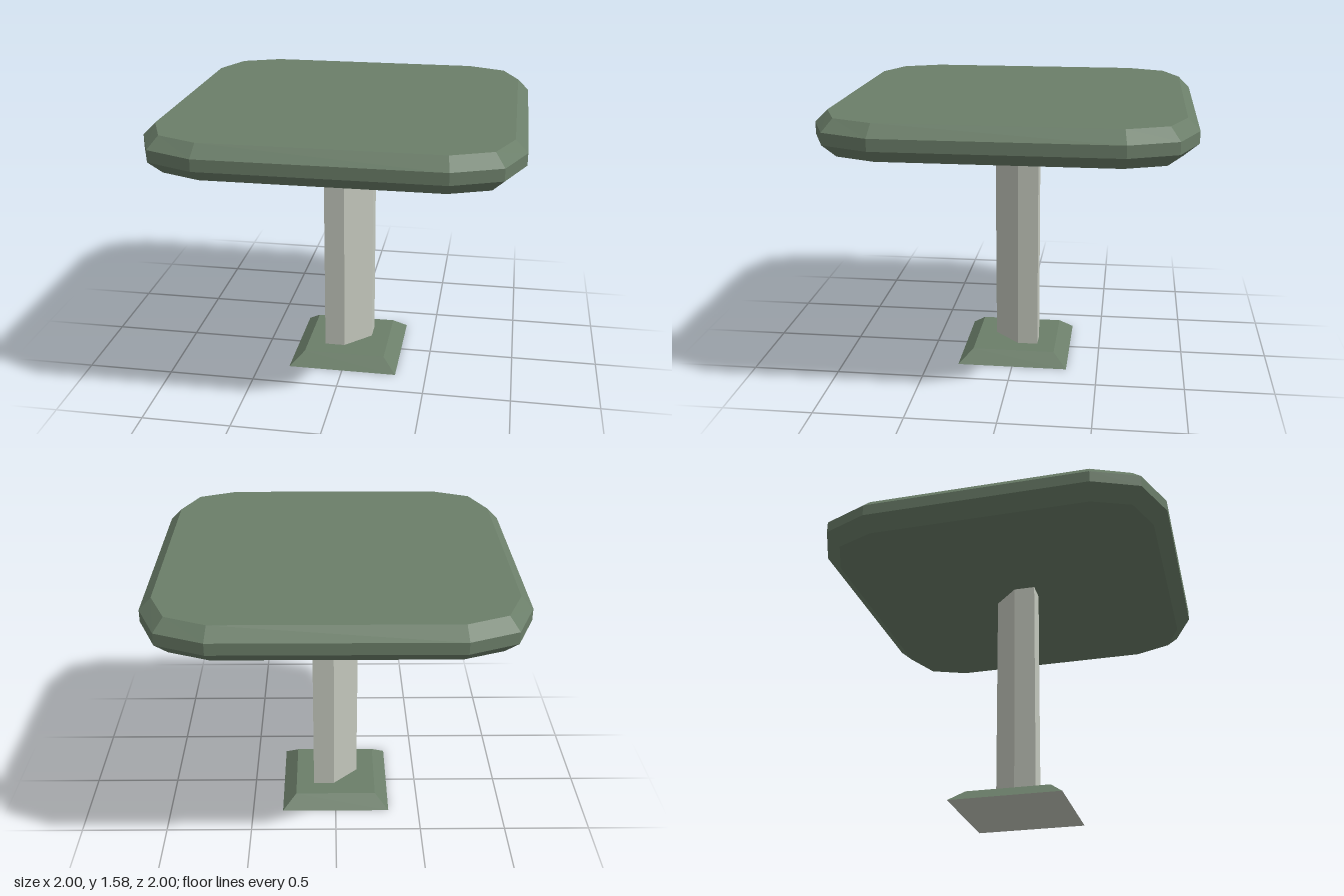
import * as THREE from 'three';

const material = (name, color) => {
  const m = new THREE.MeshStandardMaterial({ color });
  m.name = name;
  return m;
};

// Faceted solid through stacked rings; each ring is { y, pts: [[x, z], ...] }, turning from +x to +z.
// Material groups: 0 = sides and top, 1 = underside.
function loft(rings) {
  const pos = [];
  const n = rings[0].pts.length;
  const at = (r, i) => [r.pts[i % n][0], r.y, r.pts[i % n][1]];
  const tri = (a, b, c) => pos.push(...a, ...b, ...c);
  for (let k = 0; k < rings.length - 1; k++) {
    const lo = rings[k], hi = rings[k + 1];
    for (let i = 0; i < n; i++) {
      tri(at(lo, i), at(hi, i), at(hi, i + 1));
      tri(at(lo, i), at(hi, i + 1), at(lo, i + 1));
    }
  }
  const top = rings[rings.length - 1], bottom = rings[0];
  for (let i = 0; i < n; i++) tri([0, top.y, 0], at(top, i + 1), at(top, i));
  const split = pos.length / 3;
  for (let i = 0; i < n; i++) tri([0, bottom.y, 0], at(bottom, i), at(bottom, i + 1));
  const g = new THREE.BufferGeometry();
  g.setAttribute('position', new THREE.Float32BufferAttribute(pos, 3));
  g.addGroup(0, split, 0);
  g.addGroup(split, pos.length / 3 - split, 1);
  g.computeVertexNormals();
  return g;
}

// Repeat a corner's points around the four quarters
function fourCorners(corner) {
  const pts = [];
  for (let q = 0; q < 4; q++) {
    for (let [x, z] of corner) {
      for (let k = 0; k < q; k++) [x, z] = [-z, x];
      pts.push([x, z]);
    }
  }
  return pts;
}

export function createModel() {
  const green = material('mutedGreen', 0x6b7e69);
  const grey = material('paleGrey', 0xc4c8bd);
  const model = new THREE.Group();
  model.name = 'table';
  const add = (name, rings, mats) => {
    const mesh = new THREE.Mesh(loft(rings), mats);
    mesh.name = name;
    model.add(mesh);
  };

  // Table top: cut-corner slab with bevelled rim
  const slab = (side, edge, cut) => fourCorners([[side, edge], [cut, cut], [edge, side]]);
  add('tableTop', [
    { y: 1.38, pts: slab(0.92, 0.62, 0.835) },
    { y: 1.45, pts: slab(1, 0.635, 0.893) },
    { y: 1.515, pts: slab(1, 0.635, 0.893) },
    { y: 1.58, pts: slab(0.935, 0.625, 0.843) },
  ], [green, green]);

  // Column: square post with two opposite corners cut away
  const w = 0.133;
  const post = [[w, -0.015], [-0.015, w], [-w, w], [-w, 0.01], [0.01, -w], [w, -w]];
  add('column', [{ y: 0.06, pts: post }, { y: 1.39, pts: post }], [grey, grey]);

  // Foot: low sloped plinth with a pale underside
  add('foot', [
    { y: 0, pts: fourCorners([[0.32, 0.32]]) },
    { y: 0.07, pts: fourCorners([[0.24, 0.24]]) },
  ], [green, grey]);

  return model;
}
